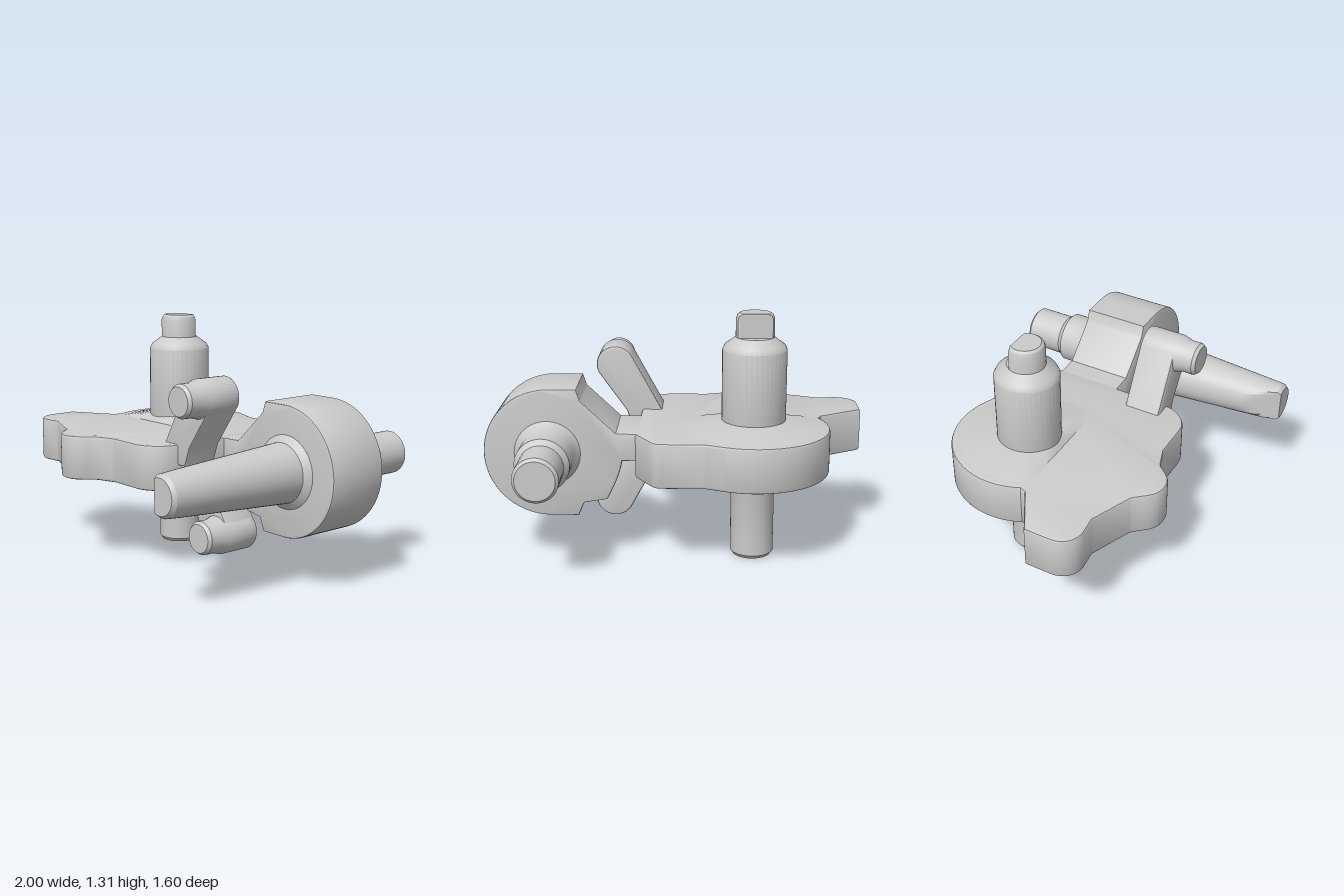
import * as THREE from 'three';
import { toCreasedNormals } from 'three/addons/utils/BufferGeometryUtils.js';

const grey = new THREE.MeshStandardMaterial({ color: 0xcccccc });
const CREASE = 0.5;

function part(name, geometry) {
  const mesh = new THREE.Mesh(toCreasedNormals(geometry, CREASE), grey);
  mesh.name = name;
  return mesh;
}

// Solid slab with small rounded edges, spanning 0..depth along z
function slab(shape, depth, bevel) {
  const g = new THREE.ExtrudeGeometry(shape, {
    depth: depth - 2 * bevel, bevelThickness: bevel, bevelSize: bevel,
    bevelOffset: -bevel, bevelSegments: 2, curveSegments: 24,
  });
  return g.translate(0, 0, bevel);
}

// Turned solid from [radius, height] pairs, closed at both ends
function turned(profile) {
  const pts = [[0, profile[0][1]], ...profile, [0, profile[profile.length - 1][1]]];
  return new THREE.LatheGeometry(pts.map(([r, y]) => new THREE.Vector2(r, y)), 40);
}

function editVertices(g, rule) {
  const p = g.attributes.position, v = new THREE.Vector3();
  for (let i = 0; i < p.count; i++) {
    rule(v.fromBufferAttribute(p, i));
    p.setXYZ(i, v.x, v.y, v.z);
  }
  return g;
}

export function createModel() {
  const model = new THREE.Group();
  model.name = 'pivotAssembly';

  // Plate: outline seen from above, with y of the shape = -z
  const plate = new THREE.Shape();
  plate.moveTo(-0.15, 0.53);
  plate.lineTo(-0.235, 0.565);
  plate.absarc(-0.4, 0.2, 0.4, 1.15, Math.PI + 0.46, false);
  plate.lineTo(-0.77, -0.01);
  plate.lineTo(-1, -0.15);
  plate.lineTo(-1, -0.29);
  plate.bezierCurveTo(-1, -0.36, -0.95, -0.41, -0.88, -0.41);
  plate.lineTo(-0.78, -0.40);
  plate.lineTo(-0.56, -0.49);
  plate.bezierCurveTo(-0.51, -0.53, -0.49, -0.6, -0.4, -0.6);
  plate.bezierCurveTo(-0.31, -0.6, -0.29, -0.52, -0.25, -0.50);
  plate.lineTo(-0.15, -0.465);
  plate.lineTo(0.04, -0.465);
  plate.bezierCurveTo(0.12, -0.465, 0.2, -0.39, 0.2, -0.29);
  plate.lineTo(0.21, 0.36);
  plate.lineTo(0.13, 0.49);
  plate.quadraticCurveTo(0.11, 0.53, 0.07, 0.53);
  plate.closePath();
  model.add(part('plate', slab(plate, 0.24, 0.015).rotateX(-Math.PI / 2).translate(0, 0.47, 0)));

  // Shallow raised cones on both faces of the plate, cut off along z = 0
  const swell = turned([[0.17, 0.43], [0.37, 0.472], [0.37, 0.708], [0.17, 0.748]]);
  editVertices(swell, (v) => { v.z = Math.min(v.z, 0.2); });
  model.add(part('plateSwell', swell.translate(-0.4, 0, -0.2)));

  // Upright post with a half-flat tip
  const post = turned([
    [0.1, 0], [0.115, 0.02], [0.115, 0.45], [0.168, 0.6],
    [0.168, 1.12], [0.155, 1.145], [0.1, 1.185],
  ]);
  model.add(part('post', post.translate(-0.4, 0, -0.19)));
  const tip = turned([[0.1, 1.16], [0.1, 1.28], [0.093, 1.3], [0.08, 1.31]]);
  editVertices(tip, (v) => { v.z = Math.max(v.z, -0.047); });
  model.add(part('postTip', tip.translate(-0.4, 0, -0.19)));

  // Hub body with the bridge that joins it to the plate
  const hub = new THREE.Shape();
  hub.moveTo(0.1, 0.705);
  hub.lineTo(0.31, 0.71);
  hub.lineTo(0.49, 0.88);
  hub.lineTo(0.51, 0.94);
  hub.lineTo(0.655, 0.94);
  hub.absarc(0.655, 0.6, 0.34, Math.PI / 2, -Math.PI / 2, true);
  hub.lineTo(0.51, 0.26);
  hub.lineTo(0.48, 0.33);
  hub.lineTo(0.36, 0.35);
  hub.quadraticCurveTo(0.29, 0.48, 0.28, 0.56);
  hub.lineTo(0.1, 0.56);
  hub.closePath();
  model.add(part('hub', slab(hub, 0.355, 0.01).translate(0, 0, -0.355)));

  // Spindle along z: stepped stub behind, long taper with a flat in front
  const spindle = turned([
    [0.1, -0.80], [0.115, -0.785], [0.115, -0.59], [0.14, -0.56], [0.14, -0.41],
    [0.165, -0.36], [0.19, -0.34], [0.19, 0], [0.155, 0.03],
    [0.118, 0.6], [0.114, 0.66], [0.11, 0.72], [0.105, 0.78], [0.09, 0.80],
  ]).rotateX(Math.PI / 2).translate(0.665, 0.6, 0);
  editVertices(spindle, (v) => {
    if (v.z > 0.59) v.x = Math.max(v.x, 0.547 + (v.z - 0.6) * 0.4);
  });
  model.add(part('spindle', spindle));

  // Two slanted arms ending in stepped pegs, mirrored above and below the plate
  for (const [name, s, z] of [['upper', 1, 0.11], ['lower', -1, -0.02]]) {
    const y = (d) => 0.6 + s * d;
    const arm = new THREE.Shape();
    arm.moveTo(0.08, y(0));
    arm.lineTo(0.08, y(0.09));
    for (let i = 0; i <= 20; i++) {
      const a = 2.6 - (i / 20) * 3.05;
      arm.lineTo(0.345 + 0.103 * Math.cos(a), y(0.36 + 0.103 * Math.sin(a)));
    }
    arm.lineTo(0.285, y(0.1));
    arm.lineTo(0.25, y(0));
    arm.closePath();
    model.add(part(name + 'Arm', slab(arm, 0.2, 0.012).translate(0, 0, z)));

    const peg = turned([[0.09, 0.01], [0.103, 0.03], [0.103, 0.19], [0.088, 0.24], [0.088, 0.3], [0.075, 0.318]]);
    model.add(part(name + 'Peg', peg.rotateX(Math.PI / 2).translate(0.345, y(0.36), z)));
  }
  return model;
}
